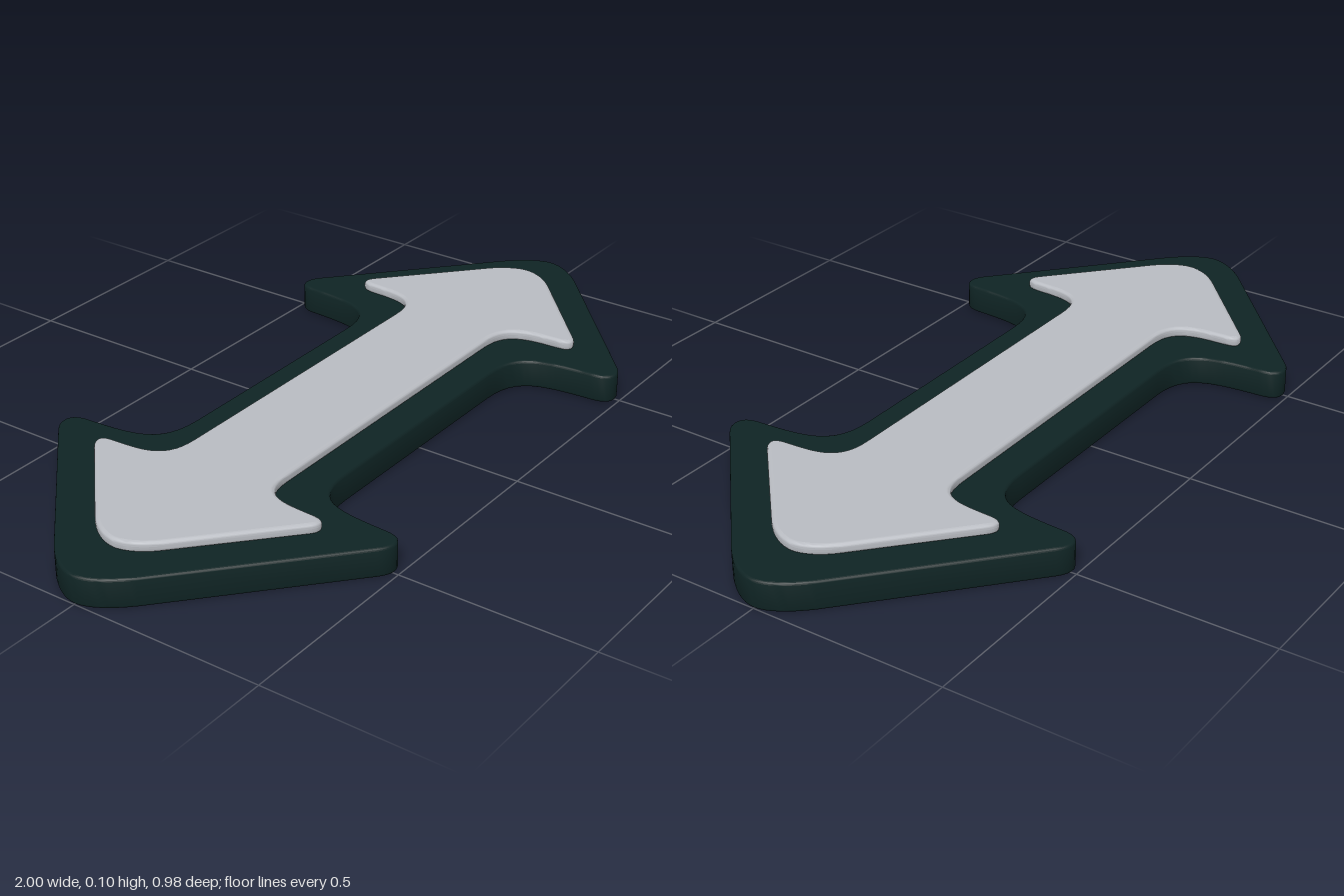
import * as THREE from 'three';
import { toCreasedNormals } from 'three/addons/utils/BufferGeometryUtils.js';

// Full arrow outline from one quarter, running from the tip to the shaft
function arrowShape(quarter) {
  const q = quarter.getPoints(8).map((p) => [p.x, p.y]);
  const back = [...q].reverse();
  const place = (list, sx, sy) => list.map(([x, y]) => new THREE.Vector2(x * sx, y * sy));
  return new THREE.Shape([
    ...place(q, 1, 1),
    ...place(back, -1, 1),
    ...place(q.slice(1), -1, -1),
    ...place(back.slice(0, -1), 1, -1),
  ]);
}

// Lying slab with rounded rims, spanning bottom to top
function slab(name, quarter, bottom, top, bevel, segments, material) {
  const raw = new THREE.ExtrudeGeometry(arrowShape(quarter), {
    depth: top - bottom - 2 * bevel,
    bevelThickness: bevel,
    bevelSize: bevel,
    bevelOffset: -bevel,
    bevelSegments: segments,
  });
  const flat = raw.attributes.normal.clone();
  const geometry = toCreasedNormals(raw, 0.7);
  // Keep the broad faces perfectly flat
  for (let i = 0; i < flat.count; i++) {
    if (Math.abs(flat.getZ(i)) > 0.999) {
      geometry.attributes.normal.setXYZ(i, 0, 0, Math.sign(flat.getZ(i)));
    }
  }
  geometry.rotateX(-Math.PI / 2);
  geometry.translate(0, bottom + bevel, 0);
  const mesh = new THREE.Mesh(geometry, material);
  mesh.name = name;
  return mesh;
}

export function createModel() {
  const darkTeal = new THREE.MeshStandardMaterial({ name: 'dark teal', color: 0x0f2424 });
  const lightGrey = new THREE.MeshStandardMaterial({ name: 'light grey', color: 0xb9bcc2 });

  // Base: blunt tip, swept head, rounded barb, filleted neck
  const base = new THREE.Path();
  base.moveTo(1, 0);
  base.bezierCurveTo(1, 0.035, 0.97, 0.08, 0.93, 0.118);
  base.lineTo(0.535, 0.47);
  base.bezierCurveTo(0.505, 0.498, 0.465, 0.495, 0.46, 0.45);
  base.bezierCurveTo(0.457, 0.4, 0.455, 0.36, 0.448, 0.325);
  base.bezierCurveTo(0.435, 0.255, 0.4, 0.224, 0.31, 0.224);

  // Raised plate: the same arrow, inset
  const plate = new THREE.Path();
  plate.moveTo(0.87, 0);
  plate.bezierCurveTo(0.87, 0.03, 0.85, 0.068, 0.815, 0.1);
  plate.lineTo(0.582, 0.311);
  plate.bezierCurveTo(0.558, 0.335, 0.536, 0.335, 0.532, 0.3);
  plate.bezierCurveTo(0.53, 0.27, 0.53, 0.235, 0.523, 0.205);
  plate.bezierCurveTo(0.511, 0.16, 0.485, 0.141, 0.42, 0.141);

  const model = new THREE.Group();
  model.name = 'doubleArrow';
  model.add(
    slab('arrowBase', base, 0, 0.074, 0.006, 3, darkTeal),
    slab('arrowPlate', plate, 0.073, 0.1, 0.011, 4, lightGrey),
  );
  return model;
}
